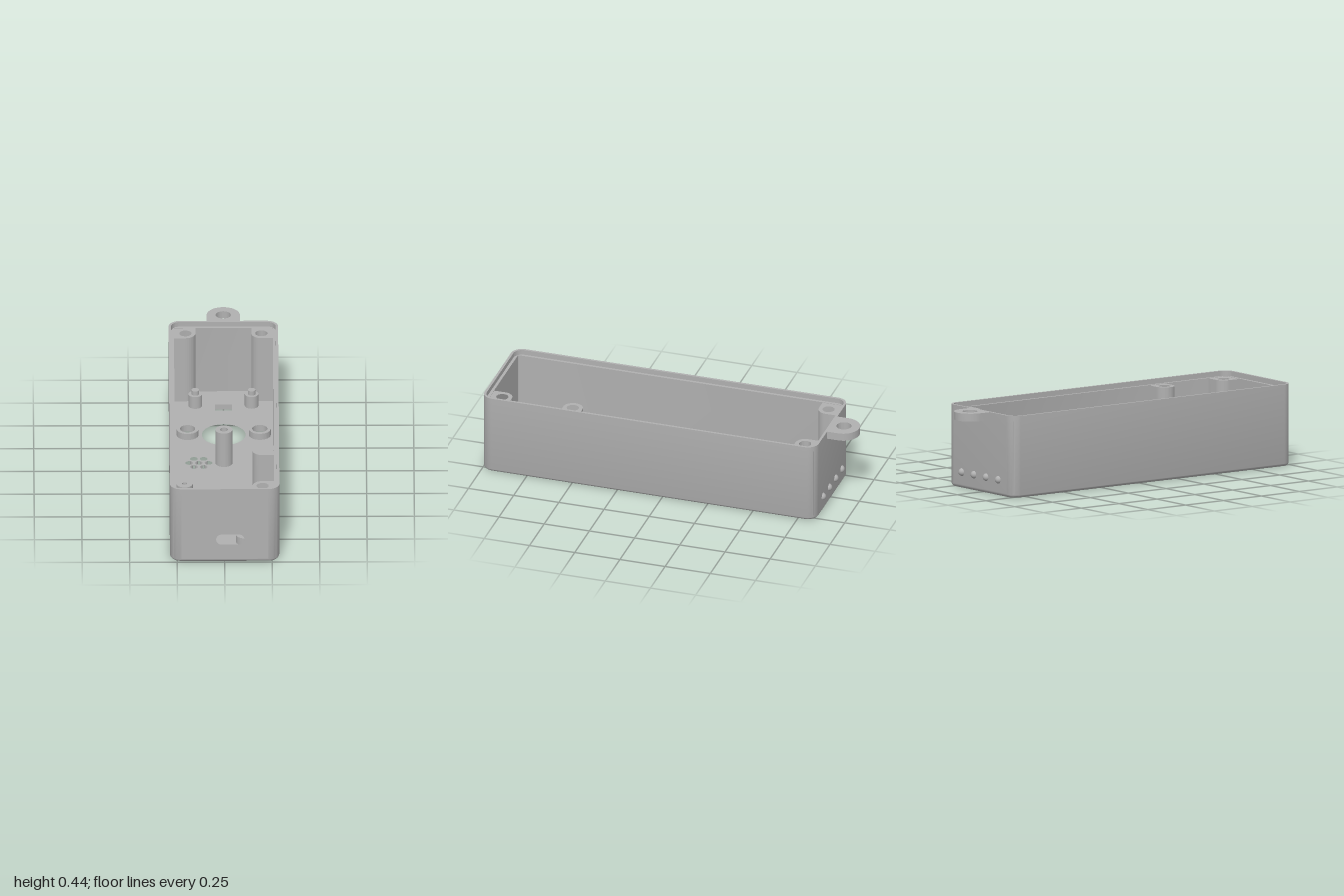
import * as THREE from 'three';
import { toCreasedNormals } from 'three/addons/utils/BufferGeometryUtils.js';

const HX = 0.288, Z0 = -0.85, Z1 = 1, H = 0.437, LEDGE = 0.41, FLOOR = 0.03;
const CORNER = 0.06, FILLET = 0.02, WALL = 0.028, LIP = 0.013, SEG = 10;

// Rounded rectangle in plan as [x, z] points, inset from the outer outline
function outline(inset, r) {
  const pts = [];
  const hx = HX - inset - r, zc = (Z0 + Z1) / 2, hz = (Z1 - Z0) / 2 - inset - r;
  [[1, 1], [-1, 1], [-1, -1], [1, -1]].forEach(([sx, sz], c) => {
    for (let i = 0; i <= SEG; i++) {
      const a = (c + i / SEG) * Math.PI / 2;
      pts.push([sx * hx + r * Math.cos(a), zc + sz * hz + r * Math.sin(a)]);
    }
  });
  return pts;
}

// Walls lofted through rings; the flat front span is left open for the slotted panel
function wallGeometry() {
  const rings = [];
  const add = (inset, y, r = CORNER - inset) => rings.push(outline(inset, r).map(([x, z]) => [x, y, z]));
  for (let i = 0; i <= 6; i++) {
    const a = i / 6 * Math.PI / 2;
    add(FILLET * (1 - Math.sin(a)), FILLET * (1 - Math.cos(a)));
  }
  add(0, H);
  add(LIP, H);
  add(LIP, LEDGE);
  add(WALL, LEDGE, 0.004);
  add(WALL, FLOOR, 0.004);
  const pos = [];
  for (let k = 0; k < rings.length - 1; k++) {
    const a = rings[k], b = rings[k + 1], n = a.length;
    for (let j = 0; j < n; j++) {
      if (j === SEG && (k === 6 || k === 10)) continue;
      const m = (j + 1) % n;
      pos.push(...a[j], ...b[j], ...a[m], ...a[m], ...b[j], ...b[m]);
    }
  }
  const g = new THREE.BufferGeometry();
  g.setAttribute('position', new THREE.Float32BufferAttribute(pos, 3));
  return toCreasedNormals(g, 0.6);
}

const circle = (x, z, r) => new THREE.Path().absarc(x, -z, r, 0, Math.PI * 2, true);

function rect(x0, x1, y0, y1) {
  return new THREE.Shape([[x0, y0], [x1, y0], [x1, y1], [x0, y1]].map(p => new THREE.Vector2(...p)));
}

// Plan shape (drawn in x, -z) raised from y0 to y1
function raise(shape, y0, y1) {
  return new THREE.ExtrudeGeometry(shape, { depth: y1 - y0, bevelEnabled: false, curveSegments: 24 })
    .rotateX(-Math.PI / 2).translate(0, y0, 0);
}

export function createModel() {
  const group = new THREE.Group();
  group.name = 'enclosure';
  const grey = new THREE.MeshStandardMaterial({ color: 0xb0b0b0 });
  grey.name = 'grey plastic';
  const add = (name, geometry) => {
    const mesh = new THREE.Mesh(geometry, grey);
    mesh.name = name;
    group.add(mesh);
    return mesh;
  };

  add('walls', wallGeometry());

  // Front panel: outer face, inner face and the slot lining
  const slotX = 0.03, slotY = 0.135, slotR = 0.03, slotHalf = 0.045;
  const slot = new THREE.Path();
  slot.absarc(slotX + slotHalf, slotY, slotR, -Math.PI / 2, Math.PI / 2, false);
  slot.absarc(slotX - slotHalf, slotY, slotR, Math.PI / 2, Math.PI * 1.5, false);
  slot.closePath();
  const outer = rect(-HX + CORNER, HX - CORNER, FILLET, H);
  outer.holes.push(slot);
  add('frontPanelOuter', new THREE.ShapeGeometry(outer, 16).translate(0, 0, Z1));
  const inX = HX - WALL - 0.004;
  const inner = rect(-inX, inX, FLOOR, LEDGE);
  inner.holes.push(slot);
  const innerGeo = new THREE.ShapeGeometry(inner, 16);
  const idx = innerGeo.index.array;
  for (let i = 0; i < idx.length; i += 3) [idx[i], idx[i + 1]] = [idx[i + 1], idx[i]];
  innerGeo.translate(0, 0, Z1 - WALL);
  innerGeo.computeVertexNormals();
  add('frontPanelInner', innerGeo);
  const sp = slot.getPoints(16), lining = [];
  for (let i = 0; i < sp.length; i++) {
    const a = sp[i], b = sp[(i + 1) % sp.length], back = Z1 - WALL;
    if (a.distanceTo(b) < 1e-6) continue;
    lining.push(a.x, a.y, Z1, a.x, a.y, back, b.x, b.y, Z1, b.x, b.y, Z1, a.x, a.y, back, b.x, b.y, back);
  }
  const liningGeo = new THREE.BufferGeometry();
  liningGeo.setAttribute('position', new THREE.Float32BufferAttribute(lining, 3));
  add('slotLining', toCreasedNormals(liningGeo, 0.6));

  // Floor with its openings
  const holeZ = -0.345, grillX = -0.132, grillZ = -0.035;
  const floor = new THREE.Shape(outline(FILLET, CORNER - FILLET).map(([x, z]) => new THREE.Vector2(x, -z)));
  floor.holes.push(circle(0, holeZ, 0.115), circle(-0.19, holeZ, 0.04), circle(0.19, holeZ, 0.04));
  floor.holes.push(rect(-0.045, 0.045, 0.61, 0.675));
  floor.holes.push(circle(grillX, grillZ, 0.02));
  for (let i = 0; i < 6; i++) {
    const a = i * Math.PI / 3;
    floor.holes.push(circle(grillX + 0.051 * Math.cos(a), grillZ + 0.051 * Math.sin(a), 0.02));
  }
  add('floor', raise(floor, 0, FLOOR));

  // Tall screw bosses merged into the side walls; wallZ marks the end wall for corner ones
  const boss = (name, side, z, wallZ) => {
    const r = 0.053, cx = 0.2, wx = 0.27;
    const s = new THREE.Shape();
    if (wallZ === undefined) {
      s.moveTo(wx, z - r);
      s.lineTo(wx, z + r);
      s.lineTo(cx, z + r);
      s.absarc(cx, z, r, Math.PI / 2, Math.PI * 1.5, false);
    } else {
      const d = Math.sign(wallZ - z);
      s.moveTo(wx, wallZ);
      s.lineTo(cx - r, wallZ);
      s.lineTo(cx - r, z);
      s.absarc(cx, z, r, Math.PI, d > 0 ? Math.PI * 1.5 : Math.PI / 2, d < 0);
      s.lineTo(wx, z - d * r);
    }
    s.closePath();
    const pts = s.getPoints(12).map(p => new THREE.Vector2(p.x * side, -p.y));
    const plan = new THREE.Shape(pts);
    plan.holes.push(circle(cx * side, z, 0.032));
    add(name, toCreasedNormals(raise(plan, FLOOR - 0.005, LEDGE - 0.002), 0.6));
  };
  boss('backRightBoss', -1, -0.765, -0.835);
  boss('backLeftBoss', 1, -0.765, -0.835);
  boss('middleBoss', 1, 0.52);
  boss('frontBoss', 1, 0.91, 0.982);

  // Hollow round standoffs and collars: [name, x, z, radius, bore, top]
  const standoffs = [
    ['collar', -0.19, holeZ, 0.058, 0.04, 0.066],
    ['collar', 0.19, holeZ, 0.058, 0.04, 0.066],
    ['centrePost', 0, grillZ, 0.045, 0.021, 0.23],
    ['boardStandoff', -0.208, 0.27, 0.043, 0.013, 0.073],
    ['boardStandoff', 0.103, 0.83, 0.043, 0.013, 0.073],
  ];
  for (const [name, x, z, r, bore, top] of standoffs) {
    const s = new THREE.Shape().absarc(x, -z, r, 0, Math.PI * 2, false);
    s.holes.push(circle(x, z, bore));
    add(name, toCreasedNormals(raise(s, FLOOR - 0.002, top), 0.6));
  }

  // Locating pins on short bases
  for (const side of [-1, 1]) {
    for (const [name, r, top] of [['pinBase', 0.036, 0.1], ['locatingPin', 0.02, 0.125]]) {
      add(name, new THREE.CylinderGeometry(r, r, top - FLOOR, 32))
        .position.set(side * 0.148, (top + FLOOR) / 2, -0.665);
    }
  }

  // Hanging tab with an eyelet
  const tab = new THREE.Shape();
  tab.moveTo(-0.088, 0.845);
  tab.lineTo(0.088, 0.845);
  tab.absarc(0, 0.912, 0.088, 0, Math.PI, false);
  tab.closePath();
  tab.holes.push(circle(0, -0.915, 0.04));
  add('hangingTab', toCreasedNormals(raise(tab, 0.395, H), 0.6));

  // Row of bumps on the back wall
  for (let i = 0; i < 4; i++) {
    add('bump', new THREE.SphereGeometry(0.021, 20, 14)).position.set((i - 1.5) * 0.106, 0.086, -0.846);
  }
  return group;
}
